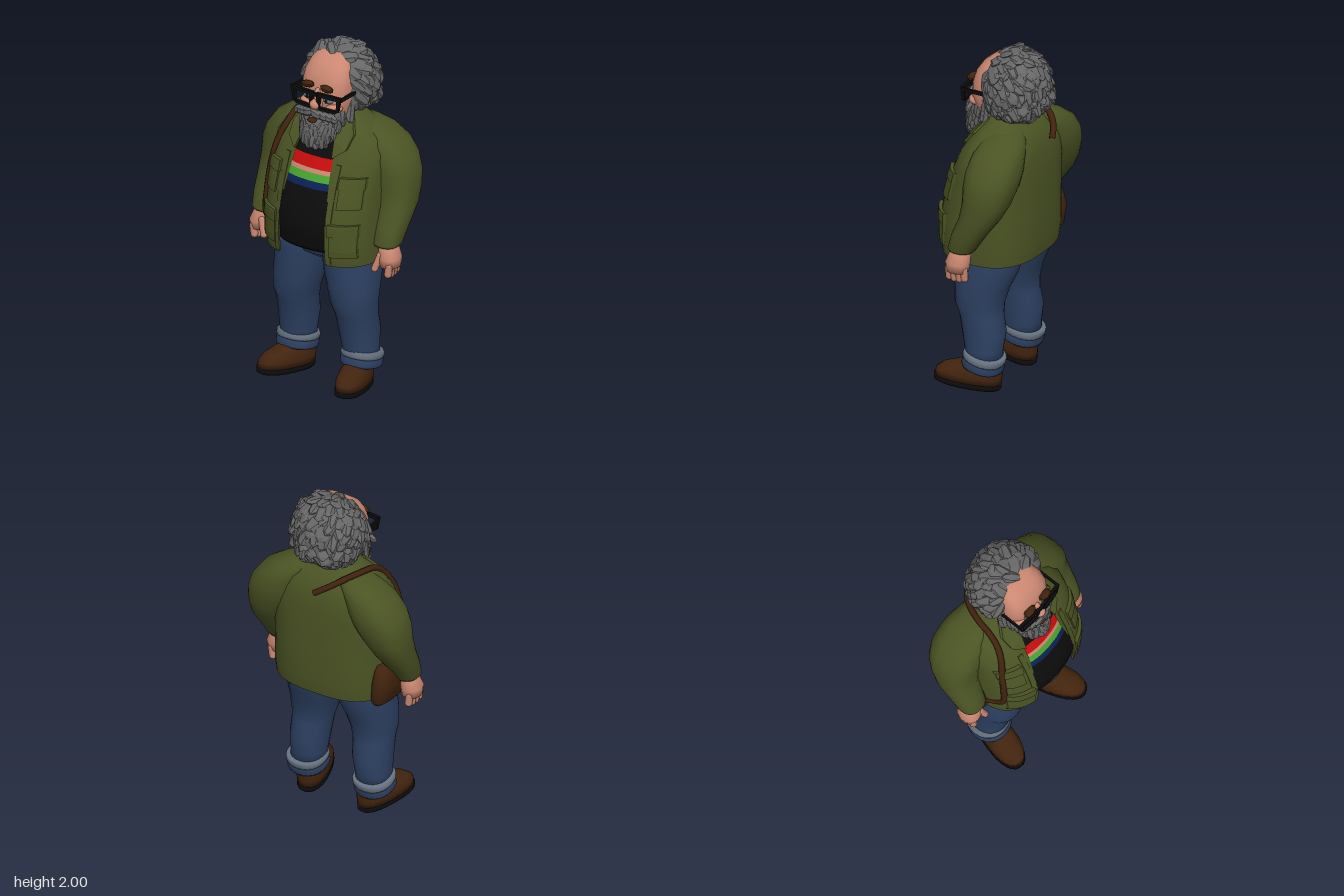
import * as THREE from 'three';
import { mergeGeometries } from 'three/addons/utils/BufferGeometryUtils.js';

const mat = (name, color, side = THREE.FrontSide) => {
  const m = new THREE.MeshStandardMaterial({ color, side });
  m.name = name;
  return m;
};

// Row format: [y, centreX, halfWidth, backZ, frontZ, openingHalfWidth]
const JACKET = [
  [0.81, 0, 0.348, -0.265, 0.28, 0.158], [0.9, 0, 0.352, -0.278, 0.292, 0.155], [1.05, 0, 0.35, -0.278, 0.287, 0.148],
  [1.2, 0, 0.348, -0.277, 0.25, 0.143], [1.32, 0, 0.352, -0.275, 0.205, 0.13], [1.42, 0, 0.345, -0.265, 0.16, 0.125],
  [1.5, 0, 0.3, -0.245, 0.11, 0.118], [1.56, 0, 0.225, -0.205, 0.07, 0.105], [1.63, 0, 0.14, -0.14, 0.02, 0.1]];
const SHIRT = [
  [0.885, 0, 0.28, -0.2, 0.275], [0.96, 0, 0.29, -0.2, 0.298], [1.05, 0, 0.29, -0.2, 0.308], [1.15, 0, 0.28, -0.2, 0.282],
  [1.25, 0, 0.27, -0.2, 0.242], [1.42, 0, 0.24, -0.18, 0.165], [1.55, 0, 0.16, -0.12, 0.09], [1.62, 0, 0.1, -0.1, 0.07]];
const BEARD = [
  [1.46, 0, 0.03, 0.14, 0.2], [1.5, 0, 0.08, 0.06, 0.21], [1.55, 0, 0.108, 0.0, 0.203],
  [1.61, 0, 0.126, -0.04, 0.178], [1.67, 0, 0.145, -0.04, 0.13]];
const JACKET_E = 0.75;

const spow = (v, e) => Math.sign(v) * Math.abs(v) ** e;
const at = (rows, y) => { // row interpolated at a height
  const i = Math.max(1, Math.min(rows.length - 1, rows.findIndex(r => r[0] >= y)));
  const t = (y - rows[i - 1][0]) / (rows[i][0] - rows[i - 1][0]);
  return rows[i].map((v, k) => THREE.MathUtils.lerp(rows[i - 1][k], v, t));
};
const slice = (rows, a, b) => [at(rows, a), ...rows.filter(r => r[0] > a + 1e-4 && r[0] < b - 1e-4), at(rows, b)];

// Stack of superellipse rings, bottom to top; rows with an opening width stay open at the front
function loft(rows, e = 1, n = 24, capped = true) {
  const pos = [], idx = [], open = rows[0].length > 5, cols = open ? n + 1 : n;
  for (const [y, cx, rx, zb, zf, w] of rows) {
    const a0 = open ? Math.asin((w / rx) ** (1 / e)) : 0;
    for (let j = 0; j < cols; j++) {
      const a = a0 + (Math.PI * 2 - 2 * a0) * j / n;
      pos.push(cx + rx * spow(Math.sin(a), e), y, (zf + zb) / 2 + (zf - zb) / 2 * spow(Math.cos(a), e));
    }
  }
  for (let i = 0; i < rows.length - 1; i++) for (let j = 0; j < n; j++) {
    const a = i * cols + j, b = i * cols + (j + 1) % cols;
    idx.push(a, b, a + cols, b, b + cols, a + cols);
  }
  if (capped) for (const i of [0, rows.length - 1]) {
    const c = pos.length / 3, [y, cx, , zb, zf] = rows[i];
    pos.push(cx, y, (zb + zf) / 2);
    for (let j = 0; j < n; j++) {
      const a = i * n + j, b = i * n + (j + 1) % n;
      idx.push(...(i ? [a, b, c] : [b, a, c]));
    }
  }
  const g = new THREE.BufferGeometry();
  g.setAttribute('position', new THREE.Float32BufferAttribute(pos, 3));
  g.setIndex(idx);
  g.computeVertexNormals();
  return g;
}

const ball = (x, y, z, rx, ry, rz, ws = 16, hs = 12) => new THREE.SphereGeometry(1, ws, hs).scale(rx, ry, rz).translate(x, y, z);
const points = list => list.map(p => new THREE.Vector2(...p));
function flat(g) {
  const f = g.index ? g.toNonIndexed() : g;
  f.deleteAttribute('uv');
  f.computeVertexNormals();
  return f;
}
function mirrored(g) {
  const m = g.index ? g.toNonIndexed() : g.clone();
  m.scale(-1, 1, 1);
  for (const { array, count, itemSize: s } of Object.values(m.attributes)) for (let i = 0; i < count; i += 3) for (let k = 0; k < s; k++) {
    const p = (i + 1) * s + k, q = (i + 2) * s + k;
    [array[p], array[q]] = [array[q], array[p]];
  }
  return m;
}
// Front depth of the jacket, used to lay pockets, collar and strap on the cloth
function surf(x, y) {
  const [, , rx, zb, zf] = at(JACKET, y), s = Math.min(0.98, Math.abs(x) / rx) ** (1 / JACKET_E);
  return (zf + zb) / 2 + (zf - zb) / 2 * Math.sqrt(1 - s * s) ** JACKET_E;
}
function drape(g) {
  const p = g.attributes.position;
  for (let i = 0; i < p.count; i++) p.setZ(i, p.getZ(i) + surf(p.getX(i), p.getY(i)));
  return flat(g);
}
const patch = (x, y, w, h, d) => drape(new THREE.BoxGeometry(w, h, d, 5, 5, 1).translate(x, y, 0));

let seed;
const rnd = () => (seed = (seed * 16807) % 2147483647) / 2147483647;
// Flat-sided lock of hair lying along a flow direction
function tuft(p, normal, flow, w, t, l) {
  const f = flow.clone().addScaledVector(normal, -flow.dot(normal)).normalize().addScaledVector(normal, 0.15 + rnd() * 0.25).normalize();
  const side = new THREE.Vector3().crossVectors(normal, f).normalize(), up = new THREE.Vector3().crossVectors(f, side);
  return flat(new THREE.SphereGeometry(1, 6, 4).rotateX(Math.PI / 2).scale(w, t, l)
    .applyMatrix4(new THREE.Matrix4().makeBasis(side, up, f).setPosition(p)));
}
function ellipsoidTufts(c, r, n, keep) {
  const out = [];
  for (let i = 0; i < n; i++) {
    const y = 1 - 2 * (i + 0.5) / n, a = i * 2.39996, q = Math.sqrt(1 - y * y);
    const d = new THREE.Vector3(Math.cos(a) * q, y, Math.sin(a) * q), p = d.clone().multiply(r).add(c);
    if (!keep(p)) continue;
    const flow = new THREE.Vector3((rnd() - 0.5) * 1.3, -0.75, -0.6);
    out.push(tuft(p, d.clone().divide(r).normalize(), flow, 0.03 + rnd() * 0.02, 0.014 + rnd() * 0.012, 0.05 + rnd() * 0.03));
  }
  return out;
}

export function createModel() {
  seed = 7;
  const root = new THREE.Group(), torso = new THREE.Group(), head = new THREE.Group();
  torso.name = 'torso';
  torso.position.x = 0.013;
  head.name = 'headGroup';
  head.position.x = 0.02;
  root.add(torso, head);
  const M = {
    olive: mat('olive cloth', 0x4b5424, THREE.DoubleSide), denim: mat('denim', 0x2d4163), cuff: mat('pale denim', 0x667280),
    grey: mat('grey hair', 0x666666), skin: mat('skin', 0xcb8872), black: mat('black', 0x0c0c0c),
    brown: mat('brown leather', 0x42240e), red: mat('red', 0xcb0d0d), green: mat('green', 0x47a62e), navy: mat('navy', 0x0b2158) };
  const add = (name, g, m, parent = root) => { const o = new THREE.Mesh(g, m); o.name = name; parent.add(o); };
  const pair = (name, g, m, parent) => { add(name + 'Left', g, m, parent); add(name + 'Right', mirrored(g), m, parent); };

  // Shirt in horizontal bands
  const bands = [[0.885, 1.235, M.black], [1.235, 1.272, M.navy], [1.272, 1.312, M.green], [1.312, 1.335, M.skin], [1.335, 1.398, M.red], [1.398, 1.62, M.black]];
  bands.forEach(([a, b, m], i) => add('shirtBand' + i, loft(slice(SHIRT, a, b), 0.85, 32, false), m, torso));
  add('shirtHem', loft([[0.87, 0, 0.27, -0.19, 0.262], [0.886, 0, 0.28, -0.2, 0.275]], 0.85, 32), M.black, torso);

  // Jacket with collar, pockets and plackets
  add('jacket', loft(JACKET, JACKET_E, 40, false), M.olive, torso);
  const collar = new THREE.Shape(points([[0.1, 1.61], [0.15, 1.61], [0.2, 1.53], [0.19, 1.46], [0.125, 1.41], [0.105, 1.5]]));
  pair('collar', drape(new THREE.ExtrudeGeometry(collar, { depth: 0.02, bevelEnabled: false })), M.olive, torso);
  pair('placket', patch(0.168, 1.1, 0.03, 0.56, 0.012), M.olive, torso);
  for (const [name, x, y, w, h] of [['chestPocket', 0.26, 1.235, 0.11, 0.17], ['lowerPocket', 0.245, 0.965, 0.13, 0.19]]) {
    pair(name, patch(x, y, w, h, 0.028), M.olive, torso);
    pair(name + 'Flap', patch(x, y + h * 0.34, w + 0.012, h * 0.36, 0.044), M.olive, torso);
  }

  // Sleeves
  pair('sleeve', loft([
    [0.915, 0.403, 0.07, -0.045, 0.095], [0.93, 0.405, 0.08, -0.055, 0.1], [1.02, 0.405, 0.09, -0.115, 0.075], [1.13, 0.393, 0.112, -0.195, 0.03],
    [1.22, 0.37, 0.132, -0.24, 0.02], [1.31, 0.34, 0.158, -0.265, 0.025], [1.39, 0.312, 0.158, -0.275, 0.025], [1.47, 0.27, 0.142, -0.265, 0.01],
    [1.53, 0.21, 0.115, -0.24, -0.015], [1.568, 0.16, 0.075, -0.195, -0.045]], 0.85), M.olive);

  // Jeans, turned-up cuffs
  add('jeansSeat', loft([[0.755, 0, 0.03, -0.12, 0.1], [0.8, 0, 0.17, -0.18, 0.165], [0.93, 0, 0.285, -0.2, 0.195]], 0.9), M.denim);
  pair('jeansLeg', loft([
    [0.16, 0.212, 0.1, -0.1, 0.1], [0.25, 0.208, 0.1, -0.105, 0.105], [0.35, 0.202, 0.108, -0.12, 0.125], [0.45, 0.197, 0.112, -0.1, 0.145],
    [0.52, 0.192, 0.125, -0.102, 0.175], [0.62, 0.18, 0.14, -0.13, 0.18], [0.71, 0.165, 0.148, -0.172, 0.187], [0.8, 0.155, 0.152, -0.195, 0.19],
    [0.92, 0.145, 0.148, -0.2, 0.195]], 0.92), M.denim);
  const cuff = (a, b, r) => loft([[a, 0.215, r - 0.006, -r, r - 0.004], [a + 0.012, 0.215, r, -r - 0.004, r],
    [b - 0.012, 0.215, r, -r - 0.004, r], [b, 0.215, r - 0.01, -r, r - 0.004]], 0.9)
    .translate(0, -0.18, 0).rotateX(-0.2).translate(0, 0.18, 0);
  pair('cuffFold', cuff(0.135, 0.19, 0.114), M.denim);
  pair('cuffEdge', cuff(0.183, 0.226, 0.116), M.cuff);

  // Shoes turned slightly outward with lifted toes
  const shoe = rows => loft(rows, 0.85).rotateX(-0.09).rotateY(0.28).translate(0.202, 0.009, 0);
  pair('sole', shoe([[0, 0, 0.075, -0.085, 0.27], [0.008, 0, 0.084, -0.092, 0.287], [0.034, 0, 0.085, -0.092, 0.29]]), M.black);
  pair('shoe', shoe([[0.032, 0, 0.083, -0.09, 0.285], [0.07, 0, 0.085, -0.092, 0.28], [0.1, 0, 0.08, -0.092, 0.245],
    [0.13, 0, 0.07, -0.09, 0.17], [0.165, 0, 0.06, -0.085, 0.09]]), M.brown);

  // Hands
  pair('palm', loft([[0.8, 0.433, 0.055, -0.025, 0.1], [0.85, 0.433, 0.06, -0.033, 0.107], [0.9, 0.42, 0.054, -0.03, 0.09], [0.95, 0.405, 0.045, -0.02, 0.07]], 0.9, 14), M.skin);
  for (let i = 0; i < 4; i++) pair('finger' + i, new THREE.CapsuleGeometry(0.022, 0.075 - Math.abs(i - 1.5) * 0.014, 4, 8)
    .rotateZ(-0.12).translate(0.452 - i * 0.003, 0.79, 0.08 - i * 0.03), M.skin);
  pair('thumb', new THREE.CapsuleGeometry(0.02, 0.085, 4, 8).rotateZ(-0.3).rotateX(-0.2).translate(0.385, 0.825, 0.09), M.skin);

  // Face
  add('face', loft([[1.58, 0, 0.1, -0.1, 0.1], [1.64, 0, 0.135, -0.1, 0.13], [1.72, 0, 0.15, -0.1, 0.145], [1.8, 0, 0.152, -0.1, 0.138],
    [1.86, 0, 0.143, -0.1, 0.118], [1.91, 0, 0.125, -0.1, 0.083], [1.945, 0, 0.1, -0.1, 0.035], [1.96, 0, 0.06, -0.1, 0]], 0.75), M.skin, head);
  add('nose', ball(0, 1.703, 0.155, 0.036, 0.032, 0.04), M.skin, head);
  add('noseBridge', ball(0, 1.745, 0.14, 0.02, 0.05, 0.026), M.skin, head);
  pair('cheek', ball(0.085, 1.685, 0.105, 0.05, 0.03, 0.045), M.skin, head);
  add('lip', ball(-0.01, 1.612, 0.18, 0.03, 0.012, 0.022, 10, 6), M.brown, head);
  pair('eye', ball(0.068, 1.732, 0.137, 0.03, 0.018, 0.018, 12, 8), M.cuff, head);
  pair('pupil', ball(0.064, 1.732, 0.153, 0.01, 0.011, 0.006, 10, 6), M.black, head);
  pair('brow', flat(ball(0.064, 0, 0.145, 0.045, 0.019, 0.026, 8, 5).rotateZ(-0.1).translate(0, 1.81, 0)), M.brown, head);

  // Glasses
  const rim = new THREE.Shape(points([[0.03, 1.678], [0.13, 1.678], [0.152, 1.695], [0.167, 1.779], [0.012, 1.779], [0.014, 1.7]]));
  rim.holes.push(new THREE.Path(points([[0.034, 1.695], [0.136, 1.695], [0.141, 1.756], [0.032, 1.756]])));
  pair('glassesRim', new THREE.ExtrudeGeometry(rim, { depth: 0.018, bevelEnabled: false }).rotateY(0.09).translate(0, 0, 0.16), M.black, head);
  add('glassesBridge', new THREE.BoxGeometry(0.04, 0.018, 0.016).translate(0, 1.766, 0.17), M.black, head);
  pair('glassesTemple', new THREE.BoxGeometry(0.012, 0.02, 0.16).translate(0.162, 1.762, 0.076), M.black, head);

  // Hair: rounded core covered in locks
  const V = (x, y, z) => new THREE.Vector3(x, y, z);
  const keep = p => p.y > 1.615 && p.z < -0.02 + 1.6 * p.x * p.x;
  add('hair', mergeGeometries([
    flat(ball(0, 1.785, -0.085, 0.195, 0.185, 0.172, 14, 10)), flat(ball(0, 1.72, -0.12, 0.18, 0.115, 0.14, 14, 10)),
    ...ellipsoidTufts(V(0, 1.783, -0.085), V(0.2, 0.19, 0.18), 190, keep),
    ...ellipsoidTufts(V(0, 1.72, -0.125), V(0.183, 0.115, 0.142), 90, p => keep(p) && p.z < 0 && p.y < 1.78)]), M.grey, head);

  // Beard, sideburns and moustache
  const locks = [flat(loft(BEARD, 0.95, 18))];
  for (let i = 0; i < 70; i++) {
    const y = 1.485 + 0.175 * ((i + 0.5) / 70), a = ((i * 0.618) % 1 - 0.5) * 4.2, [, , rx, zb, zf] = at(BEARD, y);
    const p = V(rx * Math.sin(a), y, (zb + zf) / 2 + (zf - zb) / 2 * Math.cos(a));
    if (Math.abs(p.x) < 0.06 && y > 1.58 && p.z > 0.1) continue;
    locks.push(tuft(p, V(Math.sin(a), -0.2, Math.cos(a)).normalize(), V((rnd() - 0.5) * 0.8, -1, 0.2), 0.026, 0.011, 0.04 + rnd() * 0.015));
  }
  for (const s of [-1, 1]) {
    for (let i = 0; i < 4; i++) locks.push(tuft(V(s * (0.022 + i * 0.029), 1.656 - i * 0.007, 0.183 - i * 0.013), V(s * 0.3, 0, 1).normalize(), V(s, -0.35, 0), 0.026, 0.018, 0.04));
    for (let i = 0; i < 6; i++) locks.push(tuft(V(s * 0.15, 1.62 + i * 0.03, 0.03 - i * 0.004), V(s, 0, 0.3).normalize(), V(0, -1, 0.2), 0.03, 0.016, 0.04));
  }
  add('beard', mergeGeometries(locks).translate(-0.01, 0, 0), M.grey, head);

  // Shoulder bag and strap
  add('bag', loft([[0.775, -0.315, 0.03, -0.15, 0.05], [0.81, -0.33, 0.055, -0.18, 0.08], [0.92, -0.345, 0.06, -0.19, 0.08],
    [1.0, -0.345, 0.05, -0.17, 0.06], [1.03, -0.34, 0.03, -0.15, 0.04]], 0.7), M.brown);
  const front = [[-0.23, 1.5], [-0.26, 1.4], [-0.285, 1.28], [-0.298, 1.12], [-0.308, 0.98]].map(([x, y]) => V(x, y, surf(x - 0.013, y) + 0.008));
  const strap = new THREE.CatmullRomCurve3([V(-0.01, 1.485, -0.3), V(-0.09, 1.535, -0.262), V(-0.16, 1.575, -0.19),
    V(-0.2, 1.58, -0.09), V(-0.215, 1.56, 0), ...front, V(-0.335, 0.9, 0.08)]);
  add('strap', new THREE.TubeGeometry(strap, 50, 0.018, 6), M.brown);

  return root;
}
